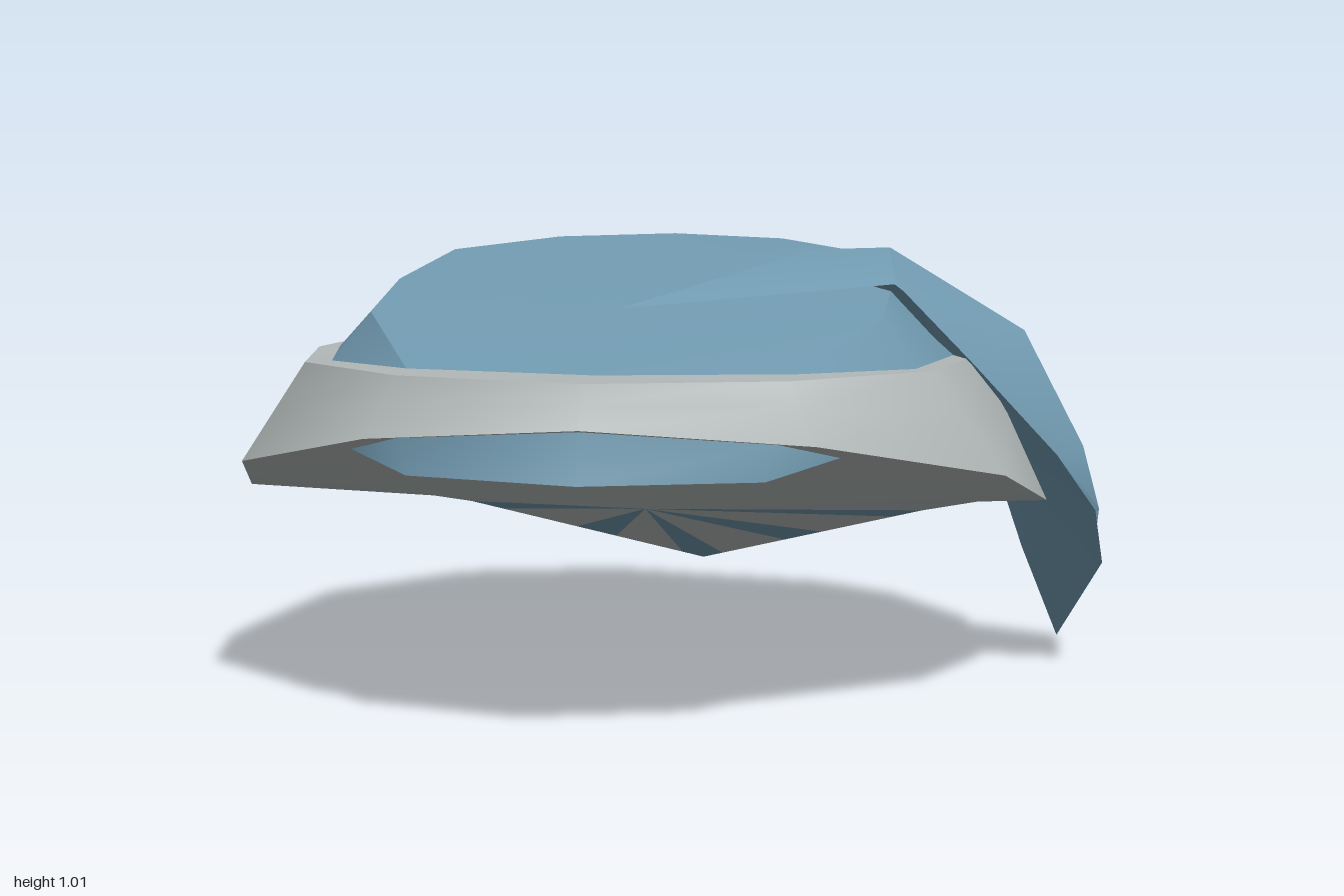
import * as THREE from 'three';
import { toCreasedNormals } from 'three/addons/utils/BufferGeometryUtils.js';

const grey = new THREE.MeshStandardMaterial({ color: 0xb2b9b8 });
grey.name = 'paleGrey';
const blue = new THREE.MeshStandardMaterial({ color: 0x7099af, side: THREE.DoubleSide });
blue.name = 'dustyBlue';

const V = ([x, y, z]) => new THREE.Vector3(x, y, z);

// Skin between rows of points; pick(column) chooses which columns to fill
function skin(rows, pick = () => true, crease = 0.65) {
  const pos = [];
  const tri = (a, b, c) => {
    const n = b.clone().sub(a).cross(c.clone().sub(a));
    if (n.length() > 1e-7) [a, b, c].forEach((p) => pos.push(p.x, p.y, p.z));
  };
  for (let i = 0; i < rows.length - 1; i++) {
    for (let j = 0; j < rows[i].length - 1; j++) {
      if (!pick(j)) continue;
      const a = rows[i][j], b = rows[i][j + 1], c = rows[i + 1][j + 1], d = rows[i + 1][j];
      tri(a, b, c);
      tri(a, c, d);
    }
  }
  const g = new THREE.BufferGeometry();
  g.setAttribute('position', new THREE.Float32BufferAttribute(pos, 3));
  return toCreasedNormals(g, crease);
}

// Half rings from front to back: half width, height, depth
const rim = [[0, .70, .95], [.475, .66, .84], [.85, .55, .46], [.935, .44, .10], [.86, .37, -.40], [.60, .26, -.80], [0, .09, -.98]];
const lip = [[0, .79, .90], [.415, .79, .80], [.69, .78, .50], [.765, .77, .10], [.68, .77, -.28], [.40, .77, -.575], [0, .77, -.68]];
const inner = [[0, .79, .75], [.42, .79, .675], [.65, .775, .42], [.72, .77, .08], [.67, .77, -.26], [.37, .77, -.545], [0, .77, -.64]];
const crownTop = [[0, .79, .75], [.42, .79, .675], [.575, .88, .36], [.575, .93, .08], [.50, .98, -.18], [.275, 1.0, -.365], [0, 1.005, -.44]];
// The middle ring bulges outward towards the back
const bulge = [0, 0, 0, .01, .03, .05, .055];
const mid = rim.map((p, i) => {
  const q = V(p).lerp(V(lip[i]), .6);
  const out = new THREE.Vector3(q.x, 0, q.z).normalize().multiplyScalar(bulge[i]);
  return q.add(out).toArray();
});

// Full ring sampled at fractional positions (0 front, 6 back) and mirrored
function ring(half, stops) {
  const at = (u, side) => {
    const i = Math.min(5, Math.floor(u));
    const p = V(half[i]).lerp(V(half[i + 1]), u - i);
    p.x = p.x * side - .065 - .015 * p.z;
    return p;
  };
  return [...stops.map((u) => at(u, 1)), ...stops.slice(0, -1).reverse().map((u) => at(u, -1))];
}
const whole = [0, 1, 2, 3, 4, 5, 6];

// Column positions at the rim, middle and lip; stripes lie between 5-6, 7-8, 9-10
const columns = [
  [0, 0, 0], [1, 1, 1], [2, 2, 2], [3, 3, 3], [4, 4, 4],
  [5, 4.88, 4.2], [5.13, 5, 4.36],
  [5.45, 5.42, 5], [5.62, 5.58, 5.16],
  [5.91, 5.9, 5.88], [6, 6, 6],
];
const stops = [0, 1, 2].map((r) => columns.map((c) => c[r]));
const count = columns.length * 2 - 2;
const isStripe = (j) => [5, 7, 9].includes(Math.min(j, count - 1 - j));

export function createModel() {
  const group = new THREE.Group();
  const add = (name, geometry, material) => {
    const mesh = new THREE.Mesh(geometry, material);
    mesh.name = name;
    group.add(mesh);
  };

  // Striped band with its underside
  const underCentre = new THREE.Vector3(-.06, .40, .10);
  const rimRow = ring(rim, stops[0]);
  const wall = [rimRow, ring(mid, stops[1]), ring(lip, stops[2]), ring(inner, stops[2])];
  const under = [rimRow.map(() => underCentre), rimRow];
  const plain = (j) => !isStripe(j);
  add('band', skin(wall, plain), grey);
  add('bandStripes', skin(wall, isStripe), blue);
  add('underside', skin(under, plain), grey);
  add('undersideStripes', skin(under, isStripe), blue);

  // Crown: steep back wall and a sloping top
  const topRow = ring(crownTop, whole);
  const peak = new THREE.Vector3(-.075, .89, .38);
  add('crownSide', skin([ring(inner, whole), topRow]), blue);
  add('crownTop', skin([topRow, topRow.map(() => peak)]), blue);

  // Small visor below the front of the band
  const visorHalf = [
    // back, lip, top
    [[0, .59, .60], [0, .59, .98], [0, .697, .945]],
    [[.33, .60, .60], [.375, .59, .875], [.40, .665, .855]],
    [[.52, .625, .75], [.52, .625, .75], [.52, .625, .75]],
  ];
  const visorRow = (r) => [[2, -1], [1, -1], [0, 1], [1, 1], [2, 1]].map(([i, side]) => {
    const p = V(visorHalf[i][r]);
    p.x = p.x * side - .08;
    return p;
  });
  add('visor', skin([0, 1, 2].map(visorRow)), blue);

  // Tail flap draped from the crown over the left side
  const root = [-.08, .895, .38], tip = [.90, 0, -.50];
  const flap = [
    // front edge, ridge, back edge, inside
    [root, root, root, root],
    [[.52, .94, .20], [.33, 1.01, .11], [.44, .985, -.17], [.40, .92, 0]],
    [[.54, .925, .20], [.50, 1.01, .03], [.47, .975, -.18], [.45, .90, 0]],
    [[.70, .76, .19], [.81, .82, 0], [.63, .77, -.23], [.64, .75, 0]],
    [[.89, .55, .14], [.95, .55, -.02], [.74, .50, -.29], [.78, .53, -.05]],
    [[.98, .41, .05], [.99, .40, -.04], [.77, .37, -.35], [.86, .39, -.12]],
    [[1.0, .27, -.05], [.98, .26, -.14], [.81, .24, -.41], [.90, .26, -.20]],
    [tip, tip, tip, tip],
  ];
  add('tailFlap', skin([0, 1, 2, 3, 0].map((r) => flap.map((s) => V(s[r]))), undefined, .8), blue);

  return group;
}
